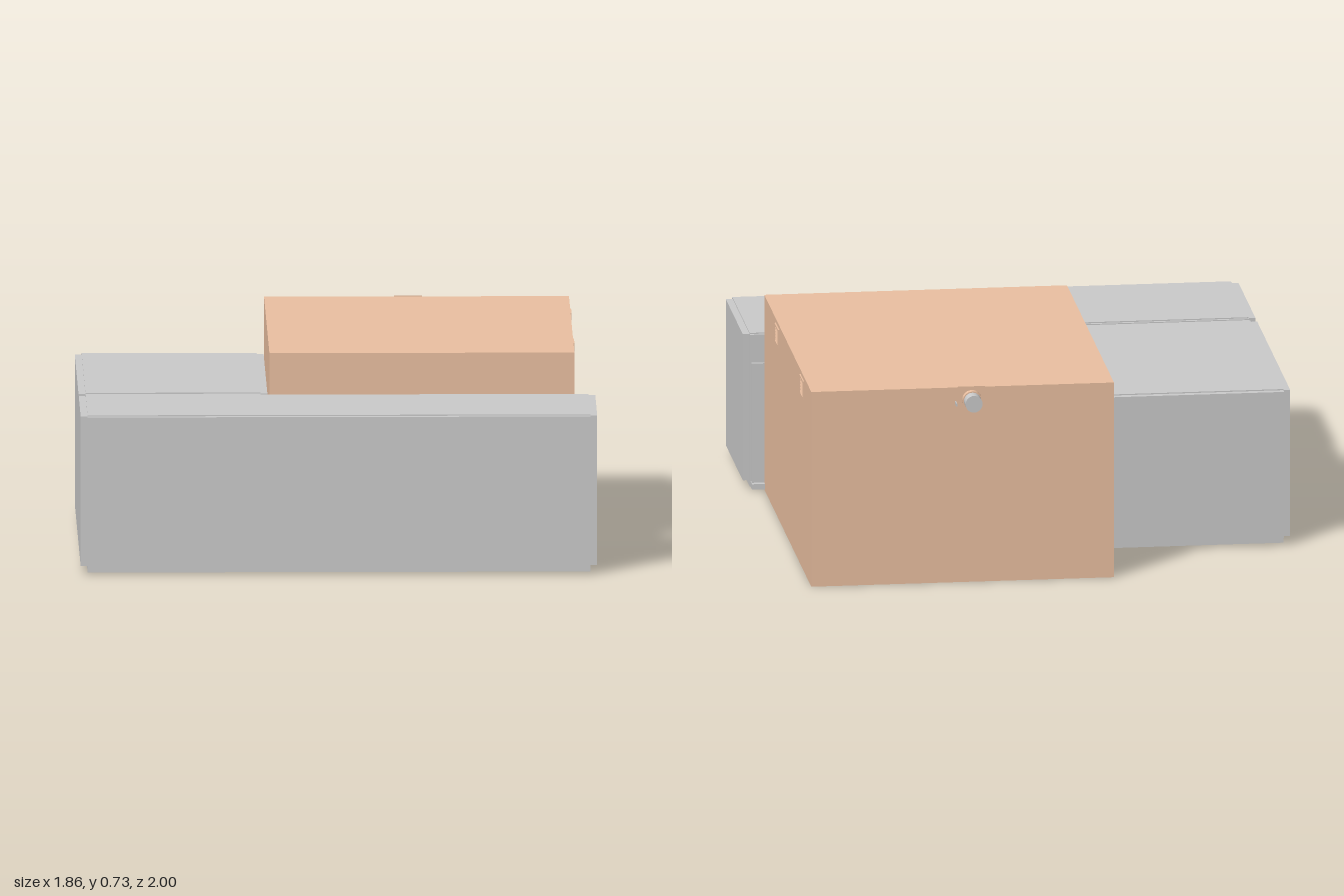
import * as THREE from 'three';

export function createModel() {
  const model = new THREE.Group();
  const grey = new THREE.MeshStandardMaterial({ color: 0xcccccc });
  const tan = new THREE.MeshStandardMaterial({ color: 0xecc1a2 });

  // Box given by its minimum and maximum on each axis
  function box(parent, name, material, [x0, x1], [y0, y1], [z0, z1]) {
    const mesh = new THREE.Mesh(new THREE.BoxGeometry(x1 - x0, y1 - y0, z1 - z0), material);
    mesh.position.set((x0 + x1) / 2, (y0 + y1) / 2, (z0 + z1) / 2);
    mesh.name = name;
    parent.add(mesh);
    return mesh;
  }

  // Flat-roofed block: a core with wall panels that stop short of the corners
  function panelledBlock(name, [x0, x1], [z0, z1], back) {
    const t = 0.025, wall = [0.03, 0.574];
    const block = new THREE.Group();
    block.name = name;
    box(block, 'core', grey, [x0, x1], [0.006, 0.578], [z0, z1]);
    box(block, 'leftWall', grey, [x1, x1 + t], wall, [z0, z1]);
    box(block, 'rightWall', grey, [x0 - t, x0], wall, [z0, z1]);
    box(block, 'frontWall', grey, [x0, x1], wall, [z1, z1 + t]);
    box(block, 'backWall', grey, [x0, x1], wall, [z0 - back, z0]);
    model.add(block);
    return block;
  }

  const front = panelledBlock('frontBlock', [-0.905, 0.905], [0.475, 0.975], 0.012);
  box(front, 'lowInnerWall', grey, [-0.28, 0.9], [0.02, 0.47], [0.451, 0.463]);
  box(front, 'baseLedge', grey, [-0.905, 0.902], [0.006, 0.026], [0.43, 0.48]);
  panelledBlock('sideBlock', [-0.905, -0.275], [-0.545, 0.425], 0.025);

  // Tall hall
  const hall = new THREE.Group();
  hall.name = 'hall';
  model.add(hall);
  box(hall, 'hallBody', tan, [-0.243, 0.855], [0, 0.725], [-0.93, 0.45]);

  // Louvred vents high on the side of the hall
  for (const z of [-0.67, 0.06]) {
    const vent = new THREE.Group();
    vent.name = 'vent';
    hall.add(vent);
    for (const s of [-1, 1]) {
      box(vent, 'ventPost', tan, [0.854, 0.86], [0.64, 0.71], [z + s * 0.047 - 0.004, z + s * 0.047 + 0.004]);
      box(vent, 'ventRail', tan, [0.854, 0.86], [0.675 + s * 0.031 - 0.004, 0.675 + s * 0.031 + 0.004], [z - 0.05, z + 0.05]);
    }
    for (let i = 0; i < 5; i++) {
      const slat = box(vent, 'ventSlat', tan, [0.854, 0.858], [0.65 + i * 0.011, 0.656 + i * 0.011], [z - 0.045, z + 0.045]);
      slat.rotation.z = 0.5;
    }
  }

  // Outlet pipe on the back wall
  function disc(name, material, r, z0, z1) {
    const mesh = new THREE.Mesh(new THREE.CylinderGeometry(r, r, z1 - z0, 24), material);
    mesh.rotation.x = Math.PI / 2;
    mesh.position.set(0.273, 0.679, (z0 + z1) / 2);
    mesh.name = name;
    hall.add(mesh);
  }
  disc('pipeCollar', tan, 0.035, -0.953, -0.93);
  disc('outletPipe', grey, 0.031, -1, -0.95);
  box(hall, 'pipeBracket', grey, [0.33, 0.334], [0.665, 0.675], [-0.97, -0.93]);
  box(hall, 'pipeDripEdge', tan, [0.225, 0.325], [0.718, 0.728], [-0.932, -0.929]);

  return model;
}
